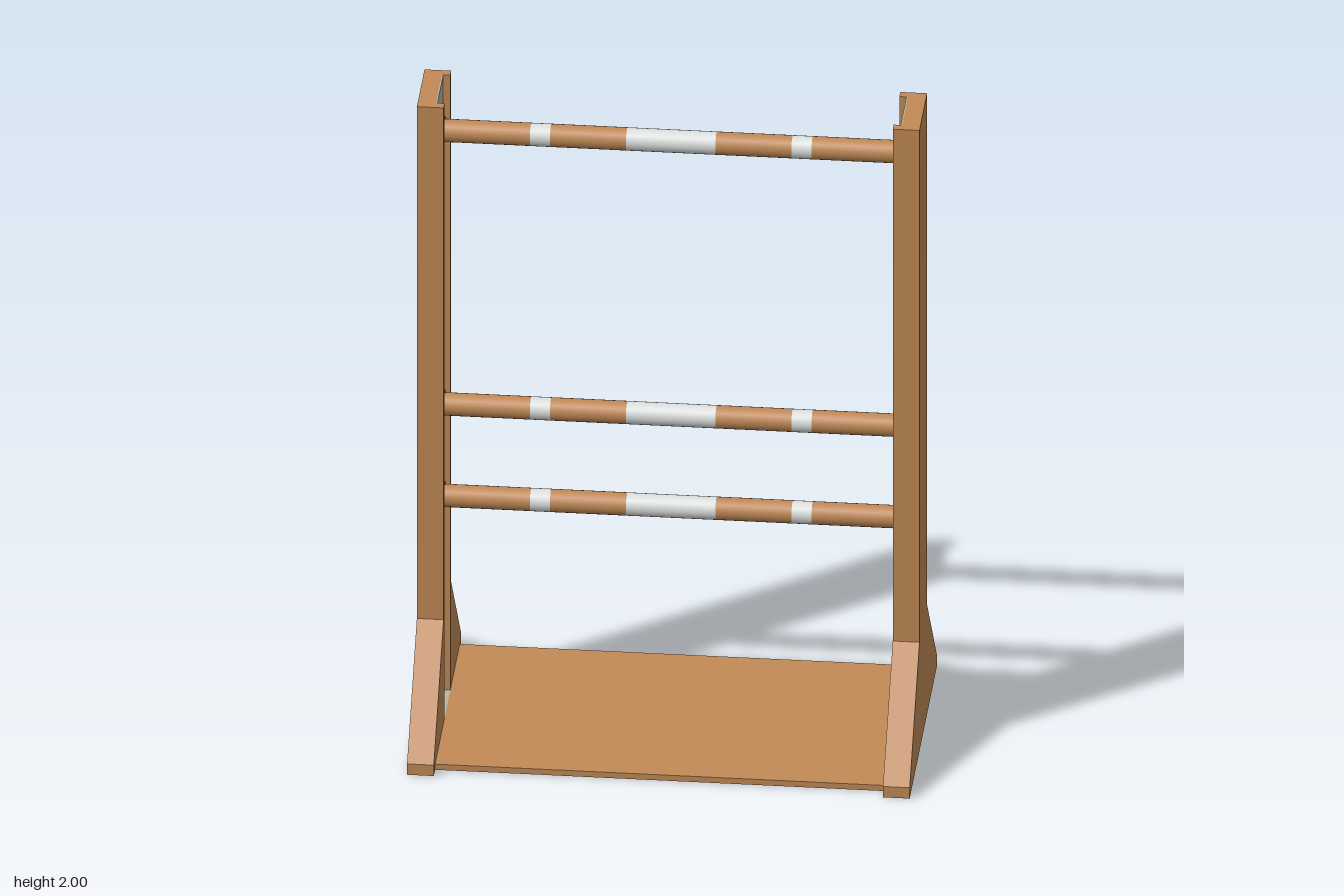
import * as THREE from 'three';

export function createModel() {
  const model = new THREE.Group();
  const wood = new THREE.MeshStandardMaterial({ name: 'wood', color: 0xc28a57 });
  const white = new THREE.MeshStandardMaterial({ name: 'whitePaint', color: 0xdde1df });
  const grey = new THREE.MeshStandardMaterial({ name: 'channelLiner', color: 0xb9b9a8 });

  const add = (parent, name, geometry, material, x = 0, y = 0, z = 0) => {
    const mesh = new THREE.Mesh(geometry, material);
    mesh.name = name;
    mesh.position.set(x, y, z);
    parent.add(mesh);
    return mesh;
  };
  const extrude = (points, depth) => new THREE.ExtrudeGeometry(
    new THREE.Shape(points.map(([a, b]) => new THREE.Vector2(a, b))),
    { depth, bevelEnabled: false });

  const inner = 0.638, outer = 0.714, recess = 0.662;

  // Channel-shaped post, open towards the middle
  const postGeometry = extrude([
    [inner, -0.11], [outer, -0.11], [outer, 0.11], [inner, 0.11],
    [inner, 0.083], [recess, 0.083], [recess, -0.083], [inner, -0.083],
  ], 2).rotateX(-Math.PI / 2);

  // Sloping brace, drawn in z and y and given the thickness of the post
  const braceGeometry = extrude(
    [[0.11, 0], [0.392, 0], [0.392, 0.035], [0.11, 0.35]], outer - inner)
    .rotateY(-Math.PI / 2).translate((outer - inner) / 2, 0, 0);

  for (const side of ['left', 'right']) {
    const upright = new THREE.Group();
    upright.name = side + 'Upright';
    if (side === 'right') upright.rotation.y = Math.PI;
    add(upright, 'post', postGeometry, wood);
    add(upright, 'channelLiner', new THREE.BoxGeometry(0.004, 1.98, 0.164), grey, recess - 0.002, 1.01, 0);
    add(upright, 'channelFloor', new THREE.BoxGeometry(recess - inner, 0.018, 0.166), grey, (recess + inner) / 2, 0.009, 0);
    for (const turn of [0, Math.PI]) {
      const brace = add(upright, 'brace', braceGeometry, wood, (inner + outer) / 2, 0, 0);
      brace.rotation.y = turn;
    }
    model.add(upright);
  }

  // Base board
  add(model, 'baseBoard', new THREE.BoxGeometry(inner * 2, 0.018, 0.71), wood, 0, 0.009, 0);

  // Striped poles: alternate wood and white from one end to the other
  const stops = [-0.655, -0.4, -0.343, -0.127, 0.127, 0.343, 0.4, 0.655];
  for (const y of [0.695, 0.99, 1.872]) {
    const pole = new THREE.Group();
    pole.name = 'pole';
    pole.position.set(0, y, 0.008);
    for (let i = 0; i < stops.length - 1; i++) {
      const length = stops[i + 1] - stops[i];
      const geometry = new THREE.CylinderGeometry(0.033, 0.033, length, 24).rotateZ(Math.PI / 2);
      add(pole, i % 2 ? 'whiteBand' : 'woodBand', geometry, i % 2 ? white : wood, (stops[i] + stops[i + 1]) / 2);
    }
    // Collars seated in the channels
    for (const s of [-1, 1]) {
      const collar = new THREE.CylinderGeometry(0.041, 0.041, 0.012, 24).rotateZ(Math.PI / 2);
      add(pole, 'endCollar', collar, wood, s * 0.651);
    }
    model.add(pole);
  }
  return model;
}
